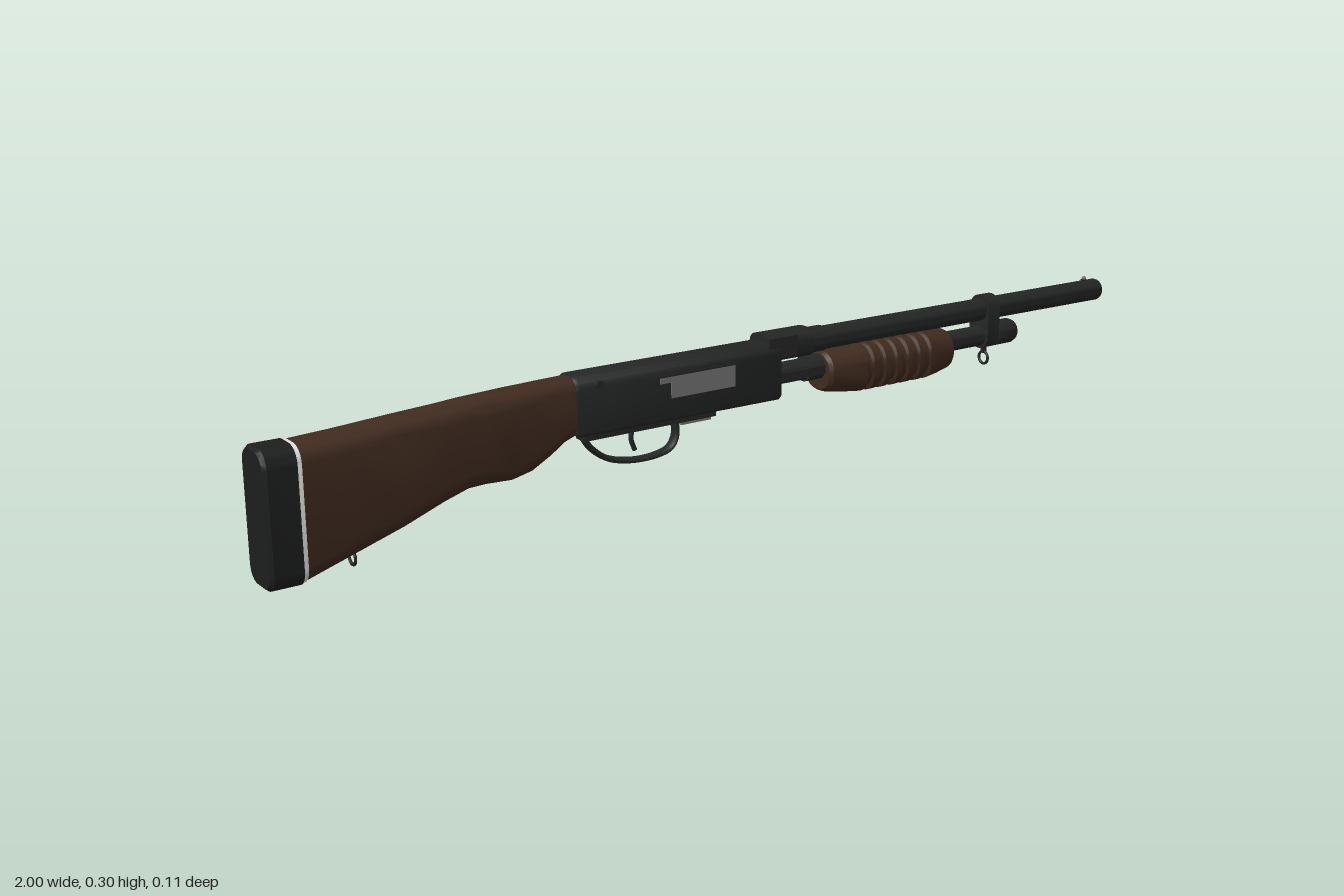
import * as THREE from 'three';
import { toCreasedNormals } from 'three/addons/utils/BufferGeometryUtils.js';

const mat = (name, color) => new THREE.MeshStandardMaterial({ name, color });

// Rounded-rectangle outline in the y-z plane, with separate top and bottom corner radii
function ring([x, y0, y1, hw, rt, rb = rt], seg = 6) {
  const pts = [];
  const corners = [[1, 1, rt, 0], [-1, 1, rb, 1], [-1, -1, rb, 2], [1, -1, rt, 3]];
  for (const [sy, sz, r, q] of corners) {
    const cy = sy > 0 ? y1 - r : y0 + r, cz = sz * (hw - r);
    for (let i = 0; i <= seg; i++) {
      const a = (q + i / seg) * Math.PI / 2;
      pts.push([x, cy + r * Math.cos(a), cz + r * Math.sin(a)]);
    }
  }
  return pts;
}

// Closed skin through sections listed from -x to +x
function loft(sections, crease = 0.6) {
  const rings = sections.map((s) => ring(s)), n = rings[0].length;
  const pos = [], idx = [];
  rings.forEach((r) => r.forEach((p) => pos.push(...p)));
  for (let j = 0; j < rings.length - 1; j++) {
    for (let i = 0; i < n; i++) {
      const a = j * n + i, b = j * n + (i + 1) % n;
      idx.push(a, b, b + n, a, b + n, a + n);
    }
  }
  [0, rings.length - 1].forEach((j, end) => {
    const s = sections[j], c = pos.length / 3;
    pos.push(s[0], (s[1] + s[2]) / 2, 0);
    for (let i = 0; i < n; i++) {
      const a = j * n + i, b = j * n + (i + 1) % n;
      if (end) idx.push(c, a, b); else idx.push(c, b, a);
    }
  });
  const g = new THREE.BufferGeometry();
  g.setAttribute('position', new THREE.Float32BufferAttribute(pos, 3));
  g.setIndex(idx);
  return toCreasedNormals(g, crease);
}

// Turned part along x from [radius, x] points
function turned(points) {
  const g = new THREE.LatheGeometry(points.map(([r, x]) => new THREE.Vector2(r, x)), 28);
  return toCreasedNormals(g.rotateZ(-Math.PI / 2), 0.6);
}

const rod = (r, x0, x1) => turned([[0, x0], [r, x0], [r, x1], [0, x1]]);

export function createModel() {
  const root = new THREE.Group();
  const wood = mat('brown wood', 0x402b1f);
  const steel = mat('dark steel', 0x252626);
  const rubber = mat('black rubber', 0x1d1e1e);
  const grey = mat('grey metal', 0x747474);
  const white = mat('white spacer', 0xe2e0da);

  const add = (name, geo, material, x = 0, y = 0, z = 0) => {
    const m = new THREE.Mesh(geo, material);
    m.name = name;
    m.position.set(x, y, z);
    root.add(m);
    return m;
  };
  const box = (name, x0, x1, y0, y1, w, material, z = 0) =>
    add(name, new THREE.BoxGeometry(x1 - x0, y1 - y0, w), material, (x0 + x1) / 2, (y0 + y1) / 2, z);

  // Stock, spacer and recoil pad
  add('stock', loft([
    [-0.932, 0.006, 0.252, 0.045, 0.032], [-0.85, 0.03, 0.257, 0.043, 0.034],
    [-0.74, 0.063, 0.265, 0.04, 0.034], [-0.66, 0.092, 0.27, 0.038, 0.034],
    [-0.61, 0.107, 0.274, 0.037, 0.034], [-0.57, 0.108, 0.276, 0.036, 0.034],
    [-0.52, 0.106, 0.278, 0.036, 0.033], [-0.48, 0.115, 0.279, 0.035, 0.032],
    [-0.44, 0.137, 0.28, 0.034, 0.03], [-0.41, 0.158, 0.28, 0.034, 0.028],
    [-0.385, 0.168, 0.28, 0.034, 0.026],
  ]), wood);
  add('stockSpacer', loft([[-0.94, 0.004, 0.253, 0.046, 0.032], [-0.931, 0.005, 0.253, 0.046, 0.032]]), white);
  add('recoilPad', loft([
    [-1, 0.008, 0.248, 0.042, 0.028], [-0.993, 0.002, 0.254, 0.047, 0.032],
    [-0.939, 0.002, 0.254, 0.047, 0.032],
  ]), rubber);

  // Receiver
  add('receiver', loft([
    [-0.392, 0.172, 0.28, 0.035, 0.024, 0.007], [-0.386, 0.168, 0.283, 0.0375, 0.025, 0.007],
    [0.074, 0.166, 0.283, 0.0375, 0.025, 0.007], [0.08, 0.17, 0.28, 0.035, 0.024, 0.007],
  ]), steel);
  box('ejectionPort', -0.185, -0.035, 0.212, 0.255, 0.004, grey, 0.0365);
  box('portRail', -0.21, -0.185, 0.243, 0.257, 0.004, grey, 0.0365);
  box('portLip', -0.22, -0.03, 0.255, 0.259, 0.006, steel, 0.0365);
  add('safetyButton', new THREE.CylinderGeometry(0.008, 0.008, 0.086, 16).rotateX(Math.PI / 2), steel, -0.345, 0.265);

  // Barrel with its collar and bead
  add('barrel', turned([
    [0, 0.06], [0.024, 0.06], [0.024, 0.995], [0.022, 1], [0.018, 1], [0.018, 0.97], [0, 0.97],
  ]), steel, 0, 0.267);
  add('barrelCollar', loft([[0.05, 0.24, 0.297, 0.031, 0.02], [0.165, 0.24, 0.297, 0.031, 0.02]]), steel);
  add('collarStep', rod(0.0265, 0.16, 0.205), steel, 0, 0.267);
  box('collarTab', 0.05, 0.12, 0.25, 0.292, 0.006, steel, 0.031);
  box('beadBase', 0.955, 0.968, 0.288, 0.294, 0.006, steel);
  add('sightBead', new THREE.SphereGeometry(0.005, 12, 8), grey, 0.962, 0.296);

  // Magazine tube with cap
  add('magazineTube', rod(0.022, 0.07, 0.7), steel, 0, 0.209);
  add('actionSleeve', rod(0.026, 0.16, 0.21), steel, 0, 0.209);
  add('magazineCap', turned([[0, 0.68], [0.027, 0.68], [0.027, 0.728], [0.023, 0.738], [0, 0.738]]), steel, 0, 0.209);
  for (const s of [-1, 1]) box('actionBar', 0.06, 0.22, 0.198, 0.216, 0.004, steel, s * 0.025);

  // Sliding forend, its corners cut by a row of grooves
  const forend = [
    [0.198, 0.162, 0.236, 0.04, 0.034], [0.205, 0.157, 0.242, 0.046, 0.038],
    [0.25, 0.151, 0.245, 0.052, 0.038],
  ];
  for (let i = 0; i < 6; i++) {
    const x = 0.295 + i * 0.031;
    const full = [0.148, 0.247, 0.056, 0.036];
    const cut = [0.151, 0.245, 0.055, 0.046];
    forend.push([x - 0.008, ...full], [x - 0.004, ...cut], [x + 0.004, ...cut], [x + 0.008, ...full]);
  }
  forend.push([0.49, 0.151, 0.245, 0.053, 0.038], [0.528, 0.157, 0.242, 0.047, 0.038], [0.535, 0.162, 0.236, 0.041, 0.034]);
  add('forend', loft(forend, 0.4), wood);

  // Clamp joining barrel and magazine, with sling loops
  add('barrelClamp', loft([[0.643, 0.182, 0.299, 0.029, 0.028], [0.676, 0.182, 0.299, 0.029, 0.028]]), steel);
  const slingLoop = (name, x, y) => {
    add(name, new THREE.TorusGeometry(0.0135, 0.003, 8, 24).rotateY(Math.PI / 2), steel, x, y);
    box(name + 'Stud', x - 0.005, x + 0.005, y + 0.011, y + 0.032, 0.009, steel);
  };
  slingLoop('frontSlingLoop', 0.66, 0.158);
  slingLoop('rearSlingLoop', -0.832, 0.023);

  // Trigger group
  box('triggerPlate', -0.365, -0.065, 0.152, 0.17, 0.03, steel);
  box('shellLifter', -0.145, -0.075, 0.146, 0.153, 0.024, grey);
  const path = new THREE.CatmullRomCurve3([
    [-0.362, 0.16], [-0.345, 0.135], [-0.31, 0.108], [-0.26, 0.094], [-0.2, 0.093],
    [-0.165, 0.103], [-0.152, 0.125], [-0.153, 0.157],
  ].map(([x, y]) => new THREE.Vector3(x, y, 0)));
  add('triggerGuard', new THREE.TubeGeometry(path, 40, 0.006, 10).scale(1, 1, 2), steel);
  const curve = new THREE.CatmullRomCurve3([[-0.25, 0.156], [-0.253, 0.135], [-0.245, 0.112]]
    .map(([x, y]) => new THREE.Vector3(x, y, 0)));
  add('trigger', new THREE.TubeGeometry(curve, 12, 0.005, 8), steel);

  return root;
}
